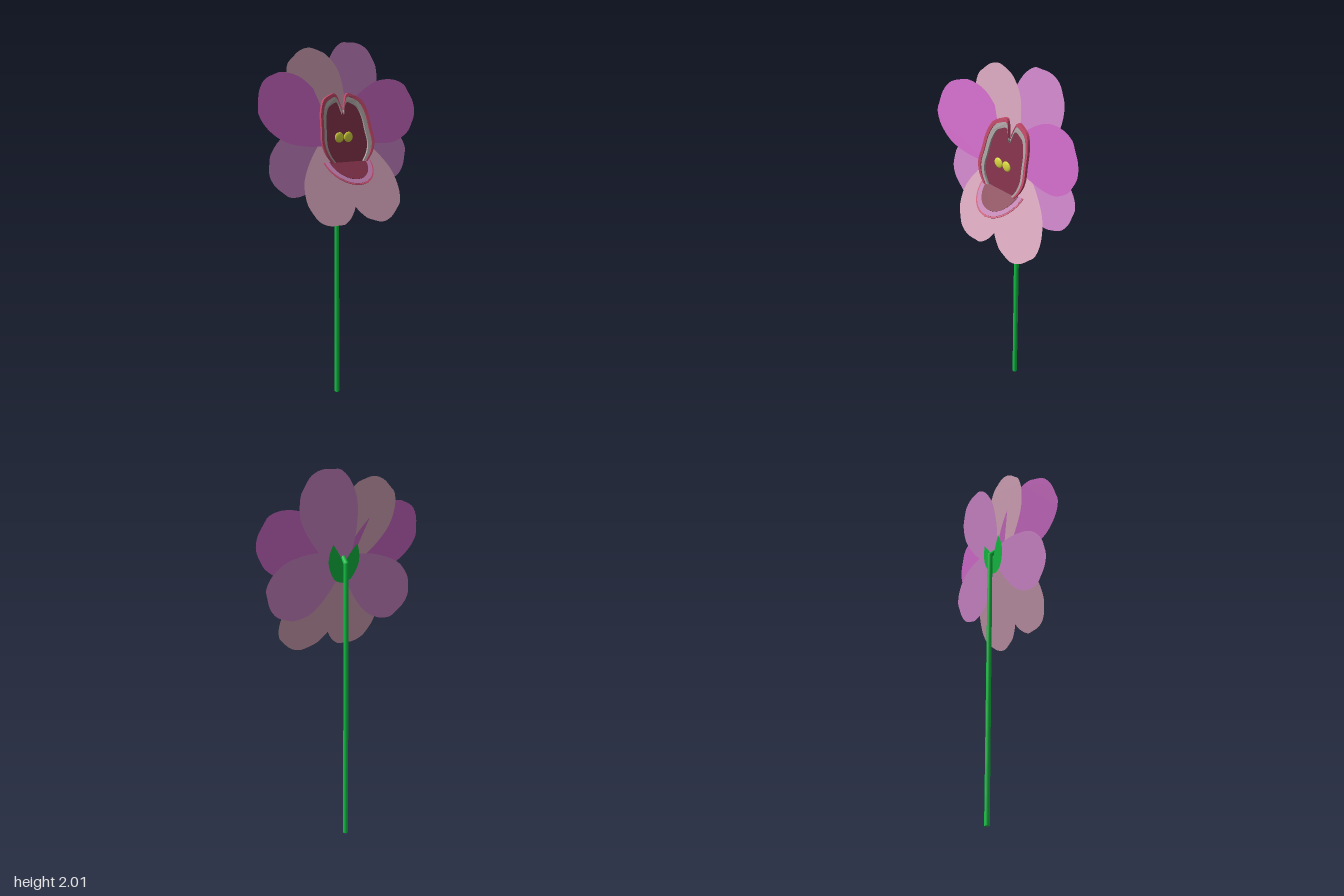
import * as THREE from 'three';

const CX = 0.02; // centre line of the flower
const V = (x, y) => new THREE.Vector2(x, y);
const mat = (color) => new THREE.MeshStandardMaterial({ color, side: THREE.DoubleSide });
const MAGENTA = mat(0xd26ccb), PURPLE = mat(0xd088cc), PINK = mat(0xdaa8be);
const MAROON = mat(0x803048), RED = mat(0xc04868), GREY = mat(0xaaa2a2);
const MAUVE = mat(0xb878a8), YELLOW = mat(0xdada40), GREEN = mat(0x12c044);

const smooth = (pts, n = 40) => new THREE.SplineCurve(pts.map(([x, y]) => V(x, y))).getPoints(n);

// Sets depth by a rule of x and y
function bend(geo, rule) {
  const p = geo.attributes.position;
  for (let i = 0; i < p.count; i++) p.setZ(i, p.getZ(i) + rule(p.getX(i), p.getY(i)));
  geo.computeVertexNormals();
  return geo;
}

function add(parent, name, geo, material) {
  const mesh = new THREE.Mesh(geo, material);
  mesh.name = name;
  parent.add(mesh);
  return mesh;
}

// Petal outline: narrow base, broad shoulders, slightly ragged tip
const PETAL = [[0, 0], [-0.22, 0.14], [-0.4, 0.36], [-0.5, 0.6], [-0.46, 0.8], [-0.34, 0.93],
  [-0.2, 0.97], [-0.02, 1], [0.16, 0.985], [0.3, 0.92], [0.43, 0.82], [0.5, 0.62], [0.4, 0.36], [0.22, 0.14], [0, 0]];

// Flat petal from base to tip on the plane z = z0 + sx * (x - bx) + sy * (y - by)
function petal(parent, name, material, [bx, by, z0], [tx, ty], width, sx, sy) {
  const dx = tx - bx, dy = ty - by, len = Math.hypot(dx, dy);
  const pts = smooth(PETAL, 70).map((p) => V(
    bx + dx * p.y + (dy / len) * width * p.x,
    by + dy * p.y - (dx / len) * width * p.x));
  const geo = new THREE.ShapeGeometry(new THREE.Shape(pts));
  add(parent, name, bend(geo, (x, y) => z0 + sx * (x - bx) + sy * (y - by)), material);
}

// Right half of the hood outline, from the notch down to the lip
const HOOD = [[0.008, 1.665], [0.035, 1.735], [0.085, 1.725], [0.122, 1.7], [0.147, 1.64],
  [0.157, 1.56], [0.165, 1.49], [0.147, 1.43], [0.11, 1.38]];
const hoodCurve = (s, sy, side) => smooth(HOOD).map((p) =>
  V(CX + side * p.x * s, 1.38 + (p.y - 1.38) * sy));
const hoodTilt = (y) => -0.25 * (y - 1.5);

// Curved band between two scaled hood outlines
function hoodBand(parent, name, material, outer, inner, side, z0, depth) {
  const pts = [...hoodCurve(...outer, side), ...hoodCurve(...inner, side).reverse()];
  const geo = new THREE.ExtrudeGeometry(new THREE.Shape(pts), { depth, bevelEnabled: false });
  add(parent, name, bend(geo, (x, y) => z0 + hoodTilt(y) + 0.7 * (x - CX) ** 2), material);
}

export function createModel() {
  const model = new THREE.Group();
  model.name = 'flower';

  // Stem with a short bend into the flower
  const stem = new THREE.Group();
  stem.name = 'stem';
  model.add(stem);
  add(stem, 'stalk', new THREE.CylinderGeometry(0.014, 0.014, 1.535, 16), GREEN).position.set(CX, 0.7675, -0.097);
  add(stem, 'elbow', new THREE.SphereGeometry(0.014, 16, 10), GREEN).position.set(CX, 1.535, -0.097);
  const neck = add(stem, 'neck', new THREE.CylinderGeometry(0.013, 0.014, 0.045, 16), GREEN);
  neck.position.set(CX, 1.55, -0.082);
  neck.rotation.x = 0.75;

  // Two-lobed calyx behind the petals
  for (const side of [1, -1]) {
    const pts = smooth([[0, 1.43], [0.05, 1.45], [0.088, 1.52], [0.09, 1.58], [0.072, 1.635]], 16)
      .concat(smooth([[0.072, 1.635], [0.03, 1.58], [0, 1.53]], 8))
      .map((p) => V(CX + side * p.x, p.y));
    const geo = new THREE.ShapeGeometry(new THREE.Shape(pts));
    add(model, side > 0 ? 'calyxLeft' : 'calyxRight', bend(geo, (x, y) => -0.077 - 0.155 * (y - 1.55)), GREEN);
  }

  // Back, middle and front petals
  const petals = new THREE.Group();
  petals.name = 'petals';
  model.add(petals);
  petal(petals, 'backPetalTop', PURPLE, [CX, 1.5, -0.063], [0.19, 2.0], 0.33, 0, -0.155);
  petal(petals, 'backPetalRight', PURPLE, [CX, 1.56, -0.071], [-0.4, 1.28], 0.32, 0, -0.155);
  petal(petals, 'backPetalLeft', PURPLE, [CX, 1.57, -0.072], [0.425, 1.32], 0.32, 0, -0.155);
  petal(petals, 'pinkPetalTop', PINK, [0.01, 1.5, -0.038], [-0.19, 1.96], 0.32, 0, -0.165);
  petal(petals, 'sidePetalRight', MAGENTA, [CX, 1.5, -0.045], [-0.47, 1.765], 0.35, -0.154, -0.228);
  petal(petals, 'sidePetalLeft', MAGENTA, [0, 1.56, -0.05], [0.48, 1.68], 0.345, 0.094, -0.1);
  petal(petals, 'pinkPetalRight', PINK, [0, 1.55, -0.068], [-0.16, 1.065], 0.32, 0, -0.37);
  petal(petals, 'pinkPetalLeft', PINK, [CX, 1.55, -0.068], [0.24, 1.065], 0.33, 0, -0.37);

  // Hood: dark throat framed by a grey lining and a red rim
  const hood = new THREE.Group();
  hood.name = 'hood';
  model.add(hood);
  const throat = new THREE.Shape([...hoodCurve(0.86, 0.9, 1), ...hoodCurve(0.86, 0.9, -1).reverse()]);
  add(hood, 'throat', bend(new THREE.ShapeGeometry(throat), (x, y) => hoodTilt(y) - 0.004), MAROON);
  for (const side of [1, -1]) {
    hoodBand(hood, 'hoodRim', RED, [1, 1], [0.9, 0.95], side, -0.008, 0.016);
    hoodBand(hood, 'hoodLining', GREY, [0.9, 0.95], [0.78, 0.87], side, -0.008, 0.011);
  }

  // Pair of pollen beads
  for (const x of [-0.023, 0.034]) {
    const bead = add(model, 'pollenBead', new THREE.SphereGeometry(0.028, 20, 12), YELLOW);
    bead.position.set(x, 1.51, 0);
    bead.scale.z = 0.3;
  }

  // Lower lip: nested half discs tilted forward
  const lip = new THREE.Group();
  lip.name = 'lip';
  lip.position.set(CX, 1.38, 0.01);
  lip.rotation.x = -0.88;
  model.add(lip);
  [['lipEdge', RED, 0.147, 0.172, 0], ['lipRim', MAUVE, 0.14, 0.163, 0.002], ['lipFace', MAROON, 0.114, 0.135, 0.004]]
    .forEach(([name, material, rx, ry, z]) => {
      const shape = new THREE.Shape();
      shape.absellipse(0, 0, rx, ry, Math.PI, Math.PI * 2, false);
      const geo = new THREE.ExtrudeGeometry(shape, { depth: 0.003, bevelEnabled: false, curveSegments: 32 });
      add(lip, name, geo, material).position.z = z;
    });

  return model;
}
